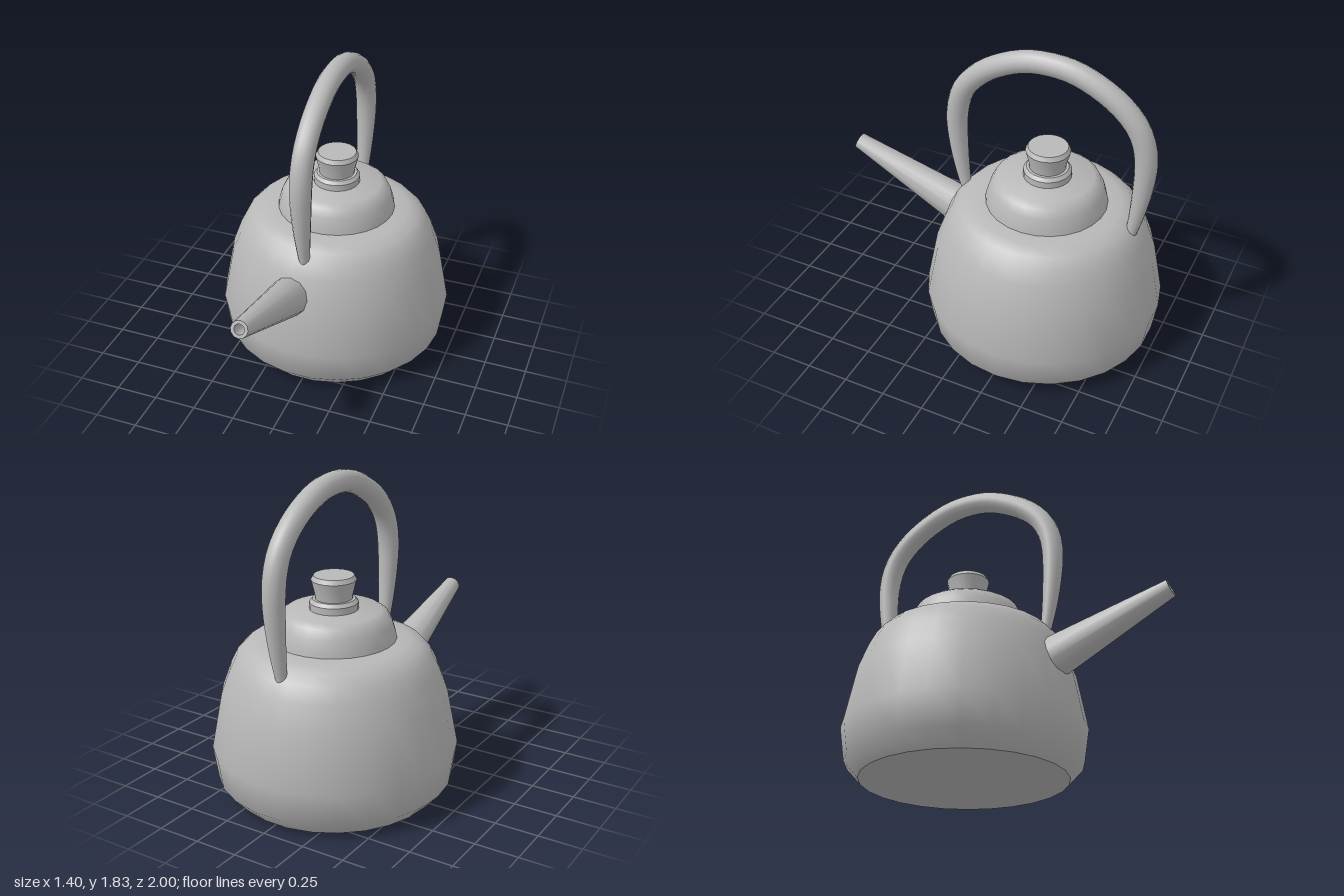
import * as THREE from 'three';
import { toCreasedNormals } from 'three/addons/utils/BufferGeometryUtils.js';

const CENTER_Z = -0.304;

export function createModel() {
  const kettle = new THREE.Group();
  kettle.name = 'kettle';
  const metal = new THREE.MeshStandardMaterial({ name: 'grey metal', color: 0xb8b8b8 });

  const add = (name, geometry, x = 0, y = 0, z = CENTER_Z) => {
    const mesh = new THREE.Mesh(geometry, metal);
    mesh.name = name;
    mesh.position.set(x, y, z);
    kettle.add(mesh);
    return mesh;
  };

  // Turned part from [radius, height] pairs, listed from bottom to top
  const turned = (profile, sides, crease = 0.7) => {
    const points = profile.map(([r, y]) => new THREE.Vector2(r, y));
    return toCreasedNormals(new THREE.LatheGeometry(points, sides, Math.PI / 2), crease);
  };

  // Pot with a flat base and rounded shoulder
  add('body', turned([
    [0, 0], [0.59, 0], [0.672, 0.09], [0.7, 0.28], [0.637, 0.6], [0.585, 0.74],
    [0.545, 0.82], [0.495, 0.872], [0.43, 0.895], [0.34, 0.903], [0, 0.903],
  ], 26));

  // Domed lid
  add('lid', turned([
    [0, 0.9], [0.35, 0.9], [0.345, 0.93], [0.326, 0.995], [0.3, 1.045], [0.265, 1.068], [0, 1.07],
  ], 26));

  // Collar under the knob
  add('knobCollar', turned([
    [0, 1.06], [0.137, 1.06], [0.137, 1.108], [0.12, 1.128], [0, 1.128],
  ], 22, 0.6));

  // Flared knob
  add('knob', turned([
    [0, 1.12], [0.103, 1.12], [0.106, 1.15], [0.127, 1.236], [0.113, 1.261], [0, 1.261],
  ], 22, 0.6));

  // Tapered spout with a hollow tip, leaning up and forward
  const spout = add('spout', turned([
    [0.131, -0.87], [0.05, 0], [0.03, 0], [0.026, -0.12], [0, -0.12],
  ], 12), -0.068, 0.876, 0.983);
  spout.rotation.x = 1.199;

  // Arched handle: half an arch as [distance from centre, height], mirrored
  const half = [
    [0.505, 0.77], [0.538, 0.95], [0.56, 1.15], [0.564, 1.3], [0.545, 1.42],
    [0.5, 1.52], [0.4, 1.625], [0.26, 1.71], [0.13, 1.757],
  ];
  const path = [
    ...half.map(([d, y]) => new THREE.Vector3(0, y, d)),
    new THREE.Vector3(0, 1.77, 0),
    ...half.slice().reverse().map(([d, y]) => new THREE.Vector3(0, y, -d)),
  ];
  const curve = new THREE.CatmullRomCurve3(path);
  const steps = 48, sides = 14;
  const arch = new THREE.TubeGeometry(curve, steps, 1, sides);
  const pos = arch.attributes.position;
  const v = new THREE.Vector3();
  for (let i = 0; i <= steps; i++) {
    const u = i / steps;
    const c = curve.getPointAt(u);
    // Thin at both feet, full thickness through the arch
    const t = Math.min(1, Math.min(u, 1 - u) / 0.24);
    const r = 0.027 + 0.037 * Math.sin(t * Math.PI / 2);
    for (let j = 0; j <= sides; j++) {
      const k = i * (sides + 1) + j;
      v.fromBufferAttribute(pos, k).sub(c).multiplyScalar(r).add(c);
      pos.setXYZ(k, v.x, v.y, v.z);
    }
  }
  add('handle', arch, -0.008, 0, -0.301);

  return kettle;
}
